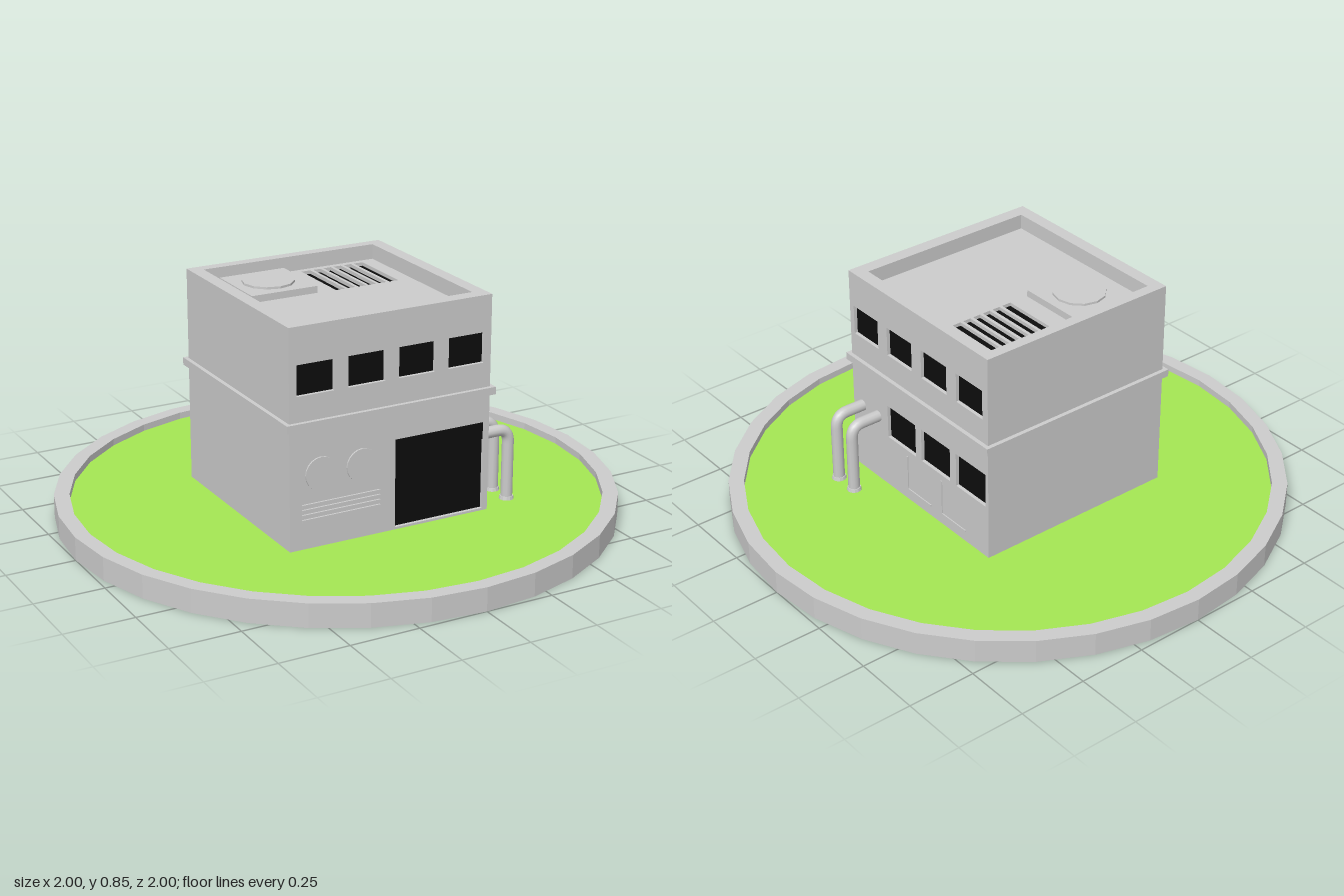
import * as THREE from 'three';

const grey = new THREE.MeshStandardMaterial({ color: 0xcccccc, flatShading: true });
const smoothGrey = new THREE.MeshStandardMaterial({ color: 0xcccccc });
const black = new THREE.MeshStandardMaterial({ color: 0x0d0d0d });
const green = new THREE.MeshStandardMaterial({ color: 0xa4e653 });

// Overall building limits
const X0 = -0.4, X1 = 0.375, Z0 = -0.36, Z1 = 0.41;
const GROUND = 0.06, ROOF = 0.79, TOP = 0.845, RECESS = 0.015;

export function createModel() {
  const model = new THREE.Group();

  function add(parent, name, geometry, material = grey) {
    const mesh = new THREE.Mesh(geometry, material);
    mesh.name = name;
    parent.add(mesh);
    return mesh;
  }

  // Box given by its limits on each axis
  function box(parent, name, x0, x1, y0, y1, z0, z1, material) {
    const mesh = add(parent, name, new THREE.BoxGeometry(x1 - x0, y1 - y0, z1 - z0), material);
    mesh.position.set((x0 + x1) / 2, (y0 + y1) / 2, (z0 + z1) / 2);
    return mesh;
  }

  function trace(path, [x0, x1, y0, y1]) {
    path.moveTo(x0, y0);
    path.lineTo(x1, y0);
    path.lineTo(x1, y1);
    path.lineTo(x0, y1);
    path.closePath();
    return path;
  }

  // Flat slab with rectangular openings; rectangles are [x0, x1, y0, y1]
  function panel(parent, name, outline, holes, depth) {
    const shape = trace(new THREE.Shape(), outline);
    holes.forEach((h) => shape.holes.push(trace(new THREE.Path(), h)));
    return add(parent, name, new THREE.ExtrudeGeometry(shape, { depth, bevelEnabled: false }));
  }

  // Dark pane at the back of an opening
  function pane(parent, name, [x0, x1, y0, y1]) {
    const mesh = add(parent, name, new THREE.PlaneGeometry(x1 - x0, y1 - y0), black);
    mesh.position.set((x0 + x1) / 2, (y0 + y1) / 2, 0.002);
  }

  // Evenly spaced openings
  function row(count, start, pitch, width, y0, y1) {
    return Array.from({ length: count }, (_, i) => [start + i * pitch, start + i * pitch + width, y0, y1]);
  }

  // Round base with raised rim, and the lawn inside it
  const rim = [[0, 0], [1, 0], [1, 0.085], [0.945, 0.085], [0.945, 0.04]];
  add(model, 'baseRim', new THREE.LatheGeometry(rim.map(([r, y]) => new THREE.Vector2(r, y)), 32));
  const lawn = add(model, 'lawn', new THREE.CircleGeometry(0.946, 32), green);
  lawn.rotation.x = -Math.PI / 2;
  lawn.position.y = GROUND;

  const building = new THREE.Group();
  building.name = 'building';
  model.add(building);
  box(building, 'core', X0, X1 - RECESS, GROUND - 0.01, ROOF - RECESS, Z0, Z1 - RECESS);

  // Front wall with upper windows and the large door
  const front = new THREE.Group();
  front.name = 'frontWall';
  front.position.z = Z1 - RECESS;
  building.add(front);
  const frontWindows = row(4, -0.372, 0.193, 0.14, 0.605, 0.714);
  const door = [0.003, 0.355, 0.068, 0.388];
  panel(front, 'frontPanel', [X0, X1, GROUND - 0.01, ROOF], [...frontWindows, door], RECESS);
  frontWindows.forEach((w) => pane(front, 'frontWindow', w));
  pane(front, 'door', door);
  box(front, 'doorHeader', door[0], door[1], 0.323, door[3], 0, 0.008, black);

  // Right-hand wall, turned so its local x runs towards the back
  const side = new THREE.Group();
  side.name = 'sideWall';
  side.position.x = X1 - RECESS;
  side.rotation.y = Math.PI / 2;
  building.add(side);
  const sideWindows = [
    ...row(4, -0.388, 0.193, 0.14, 0.605, 0.714),
    ...row(3, -0.206, 0.195, 0.162, 0.264, 0.393),
  ];
  panel(side, 'sidePanel', [RECESS - Z1, -Z0, GROUND - 0.01, ROOF], sideWindows, RECESS);
  sideWindows.forEach((w) => pane(side, 'sideWindow', w));

  // Thin L-shaped trims below the lower windows
  for (const u of [-0.096, 0.099]) {
    box(side, 'trimUpright', u, u + 0.006, 0.1, 0.24, RECESS - 0.002, RECESS + 0.004);
    box(side, 'trimFoot', u, u + 0.136, 0.1, 0.106, RECESS - 0.002, RECESS + 0.004);
  }

  // Ledge between the storeys
  box(building, 'ledge', X0 - 0.015, X1 + 0.015, 0.488, 0.515, Z0 - 0.015, Z1 + 0.015);

  // Round vents and slatted grille on the front
  for (const x of [-0.283, -0.127]) {
    const vent = add(building, 'frontVent', new THREE.CylinderGeometry(0.059, 0.059, 0.012, 20));
    vent.rotation.x = Math.PI / 2;
    vent.position.set(x, 0.323, Z1);
  }
  for (let i = 0; i < 4; i++) {
    const y = 0.158 + i * 0.018;
    box(building, 'grilleSlat', -0.355, -0.058, y, y + 0.01, Z1 - 0.004, Z1 + 0.007);
  }

  // Roof deck with the slatted opening, and the parapet around it
  const roof = new THREE.Group();
  roof.name = 'roof';
  roof.rotation.x = -Math.PI / 2;
  roof.position.y = ROOF - RECESS;
  building.add(roof);
  const opening = [0.022, 0.272, 0.04, 0.297];
  panel(roof, 'roofDeck', [X0, X1, -Z1, -Z0], [opening], RECESS);
  pane(roof, 'roofOpening', opening);
  for (let i = 1; i <= 5; i++) {
    const x = opening[0] + i * 0.25 / 6;
    box(roof, 'roofSlat', x - 0.006, x + 0.006, opening[2], opening[3], 0, RECESS);
  }
  const parapet = panel(roof, 'parapet', [X0, X1, -Z1, -Z0],
    [[X0 + 0.048, X1 - 0.048, -Z1 + 0.05, -Z0 - 0.04]], TOP - ROOF);
  parapet.position.z = RECESS;

  // Rooftop fan unit
  box(building, 'fanBox', -0.303, -0.05, ROOF - 0.01, ROOF + 0.025, -0.295, -0.043);
  const fan = add(building, 'fanCover', new THREE.CylinderGeometry(0.093, 0.093, 0.012, 12));
  fan.position.set(-0.177, ROOF + 0.027, -0.169);

  // Two bent pipes running from the side wall into the lawn
  const bend = new THREE.CurvePath();
  const v = (x, y) => new THREE.Vector3(x, y, 0);
  bend.add(new THREE.LineCurve3(v(X1 - 0.01, 0.323), v(0.445, 0.323)));
  bend.add(new THREE.QuadraticBezierCurve3(v(0.445, 0.323), v(0.49, 0.323), v(0.49, 0.275)));
  bend.add(new THREE.LineCurve3(v(0.49, 0.275), v(0.49, GROUND - 0.005)));
  for (const z of [0.265, 0.358]) {
    add(model, 'pipe', new THREE.TubeGeometry(bend, 40, 0.021, 12), smoothGrey).position.z = z;
    const collar = add(model, 'pipeCollar', new THREE.CylinderGeometry(0.024, 0.027, 0.014, 12));
    collar.position.set(0.49, GROUND + 0.005, z);
  }

  return model;
}
